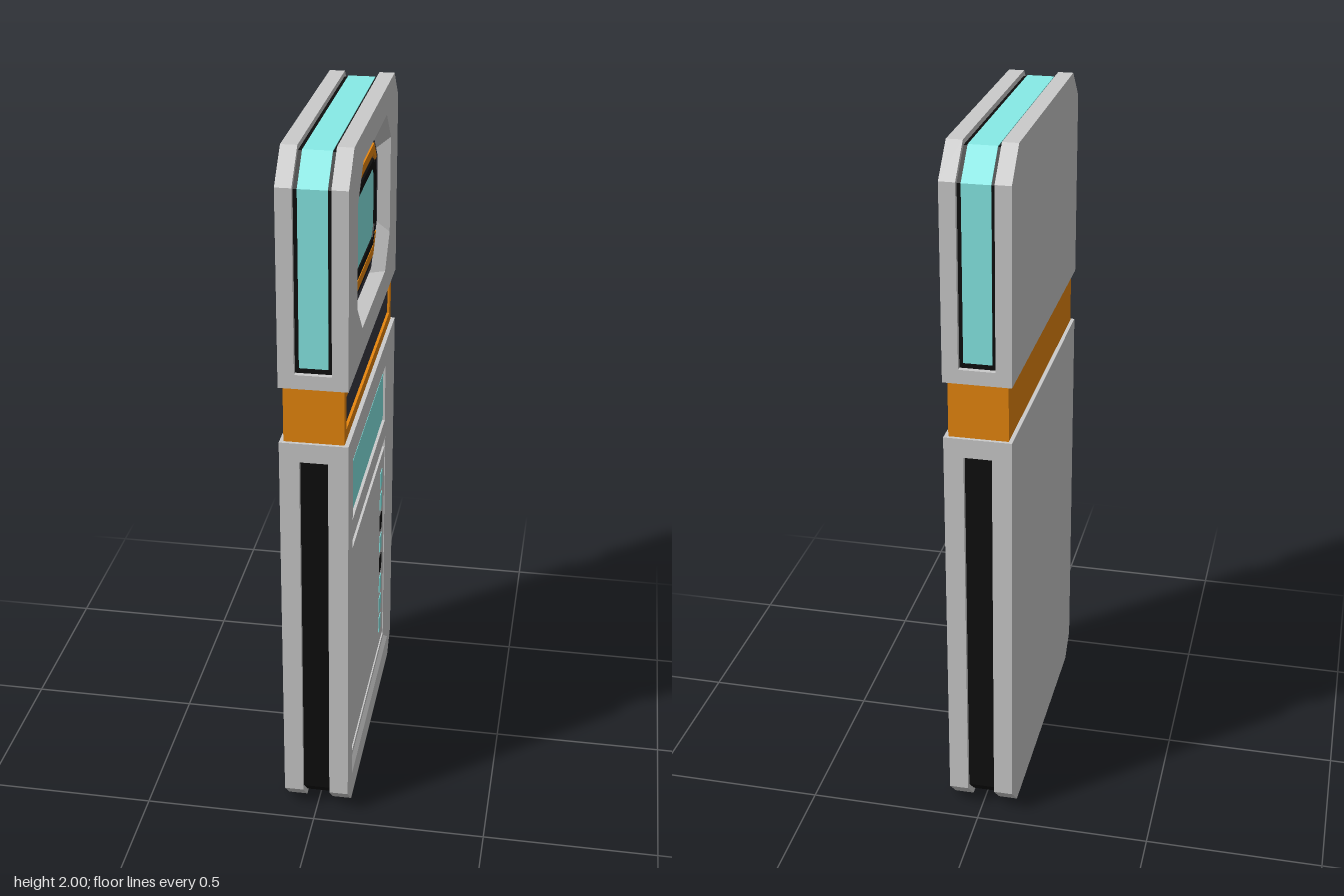
import * as THREE from 'three';

const GREY = 0xcccccc, BLACK = 0x0e0e0e, CYAN = 0x87ebe7, ORANGE = 0xe8870e, DARK = 0x383741;
const X = 0.094; // half thickness of the device

const materials = {};
function material(color) {
  return materials[color] ??= new THREE.MeshStandardMaterial({ color, flatShading: true, side: THREE.DoubleSide });
}

// Rectangle with cut corners: half width w, from y0 to y1, top and bottom chamfers, centred on u
function outline(w, y0, y1, top = 0, bottom = top, u = 0) {
  const pts = [];
  const add = (x, y) => pts.push(new THREE.Vector2(u + x, y));
  if (bottom) { add(-w + bottom, y0); add(w - bottom, y0); add(w, y0 + bottom); add(-w, y0 + bottom); pts.unshift(pts.pop()); }
  else { add(-w, y0); add(w, y0); }
  if (top) { add(w, y1 - top); add(w - top, y1); add(-w + top, y1); add(-w, y1 - top); }
  else { add(w, y1); add(-w, y1); }
  return pts;
}

export function createModel() {
  const model = new THREE.Group();

  function addMesh(name, geometry, color, parent) {
    const mesh = new THREE.Mesh(geometry, material(color));
    mesh.name = name;
    parent.add(mesh);
  }

  // Flat plate drawn on the face plane and extruded from x0 to x1
  function plate(parent, name, color, pts, x0, x1, holes = []) {
    const shape = new THREE.Shape(pts);
    holes.forEach(h => shape.holes.push(new THREE.Path(h)));
    const geo = new THREE.ExtrudeGeometry(shape, { depth: x1 - x0, bevelEnabled: false });
    geo.translate(0, 0, x0).rotateY(Math.PI / 2);
    addMesh(name, geo, color, parent);
  }

  // Sloping wall between an opening ring and a floor ring
  function slopedWall(parent, name, color, opening, xOpen, floor, xFloor) {
    const pos = [];
    const n = opening.length;
    for (let i = 0; i < n; i++) {
      const j = (i + 1) % n;
      const a = [xOpen, opening[i].y, -opening[i].x], b = [xOpen, opening[j].y, -opening[j].x];
      const c = [xFloor, floor[j].y, -floor[j].x], d = [xFloor, floor[i].y, -floor[i].x];
      pos.push(...a, ...b, ...c, ...a, ...c, ...d);
    }
    const geo = new THREE.BufferGeometry();
    geo.setAttribute('position', new THREE.Float32BufferAttribute(pos, 3));
    geo.computeVertexNormals();
    addMesh(name, geo, color, parent);
  }

  function section(name) {
    const g = new THREE.Group();
    g.name = name;
    model.add(g);
    return g;
  }

  // Head: two grey shells around a black core with a light strip on its rim
  const head = section('head');
  const headOutline = outline(0.453, 1.37, 2, 0.085, 0);
  const opening = outline(0.307, 1.453, 1.92, 0.09);
  plate(head, 'headBackShell', GREY, headOutline, -X, -0.05);
  plate(head, 'headFrontShell', GREY, headOutline, 0.05, X, [opening]);
  plate(head, 'headFoot', GREY, outline(0.453, 1.37, 1.41), -0.05, 0.05);
  plate(head, 'headCore', BLACK, outline(0.438, 1.375, 1.985, 0.076, 0), -0.05, 0.05);
  plate(head, 'rimLight', CYAN, outline(0.441, 1.425, 1.988, 0.078, 0), -0.039, 0.039);

  // Lens set into the octagonal recess
  const lens = section('lens');
  slopedWall(lens, 'recessWall', GREY, opening, X, outline(0.302, 1.458, 1.915, 0.12), 0.05);
  plate(lens, 'lensBase', DARK, outline(0.277, 1.48, 1.893, 0.11), 0.05, 0.06);
  plate(lens, 'lensBezelLine', BLACK, outline(0.235, 1.5, 1.873, 0.09), 0.06, 0.061,
    [outline(0.23, 1.505, 1.868, 0.088)]);
  plate(lens, 'lensBezel', BLACK, outline(0.2, 1.56, 1.813, 0.05), 0.06, 0.068,
    [outline(0.172, 1.583, 1.79, 0.03)]);
  plate(lens, 'lensGlass', CYAN, outline(0.172, 1.583, 1.79, 0.03), 0.058, 0.064);
  for (const s of [1, -1]) {
    const arc = [[-0.22, 0.11], [-0.17, 0.165], [0.17, 0.165], [0.22, 0.11],
      [0.19, 0.11], [0.16, 0.137], [-0.16, 0.137], [-0.19, 0.11]]
      .map(([u, v]) => new THREE.Vector2(u, 1.687 + s * v));
    plate(lens, s > 0 ? 'upperAccent' : 'lowerAccent', ORANGE, arc, 0.06, 0.066);
  }

  // Orange neck band with a dark inset bar
  const neck = section('neck');
  const slot = outline(0.41, 1.242, 1.337);
  plate(neck, 'neckCore', ORANGE, outline(0.443, 1.21, 1.37), -0.083, 0.07);
  plate(neck, 'neckFace', ORANGE, outline(0.443, 1.21, 1.37), 0.07, 0.082, [slot]);
  plate(neck, 'neckSlot', BLACK, slot, 0.07, 0.072);
  plate(neck, 'neckBar', DARK, outline(0.4, 1.251, 1.328), 0.072, 0.077);

  // Body: two grey shells around a black core, leaving a groove round the rim
  const body = section('body');
  const bodyOutline = outline(0.453, 0, 1.21, 0, 0.065);
  const panelOpening = outline(0.376, 0.08, 1.14);
  const screenHole = outline(0.335, 0.91, 1.097);
  const doorHole = outline(0.35, 0.11, 0.845);
  plate(body, 'bodyBackShell', GREY, bodyOutline, -X, -0.039);
  plate(body, 'bodyFrontShell', GREY, bodyOutline, 0.039, 0.07);
  plate(body, 'bodyPanel', GREY, outline(0.38, 0.075, 1.145), 0.07, 0.083, [screenHole, doorHole]);
  plate(body, 'bodyFrame', GREY, bodyOutline, 0.07, X, [panelOpening]);
  slopedWall(body, 'panelBevel', GREY, panelOpening, X, outline(0.363, 0.093, 1.127), 0.083);
  plate(body, 'bodyTop', GREY, outline(0.453, 1.155, 1.21), -0.039, 0.039);
  plate(body, 'bodyCore', BLACK, outline(0.438, 0.014, 1.16, 0, 0.056), -0.039, 0.039);

  // Screen
  plate(body, 'screenFrame', BLACK, screenHole, 0.07, 0.074);
  plate(body, 'screen', CYAN, outline(0.315, 0.927, 1.08), 0.074, 0.079);

  // Lower door with a column of indicators
  plate(body, 'doorGroove', BLACK, doorHole, 0.07, 0.073);
  plate(body, 'door', GREY, outline(0.325, 0.135, 0.822), 0.073, 0.084);
  for (let i = 0; i < 8; i++) {
    const y = 0.745 - i * 0.0758;
    plate(body, 'indicator' + (i + 1), i === 2 || i === 4 ? BLACK : CYAN,
      outline(0.019, y - 0.027, y + 0.027, 0, 0, 0.252), 0.084, 0.086);
  }

  return model;
}
